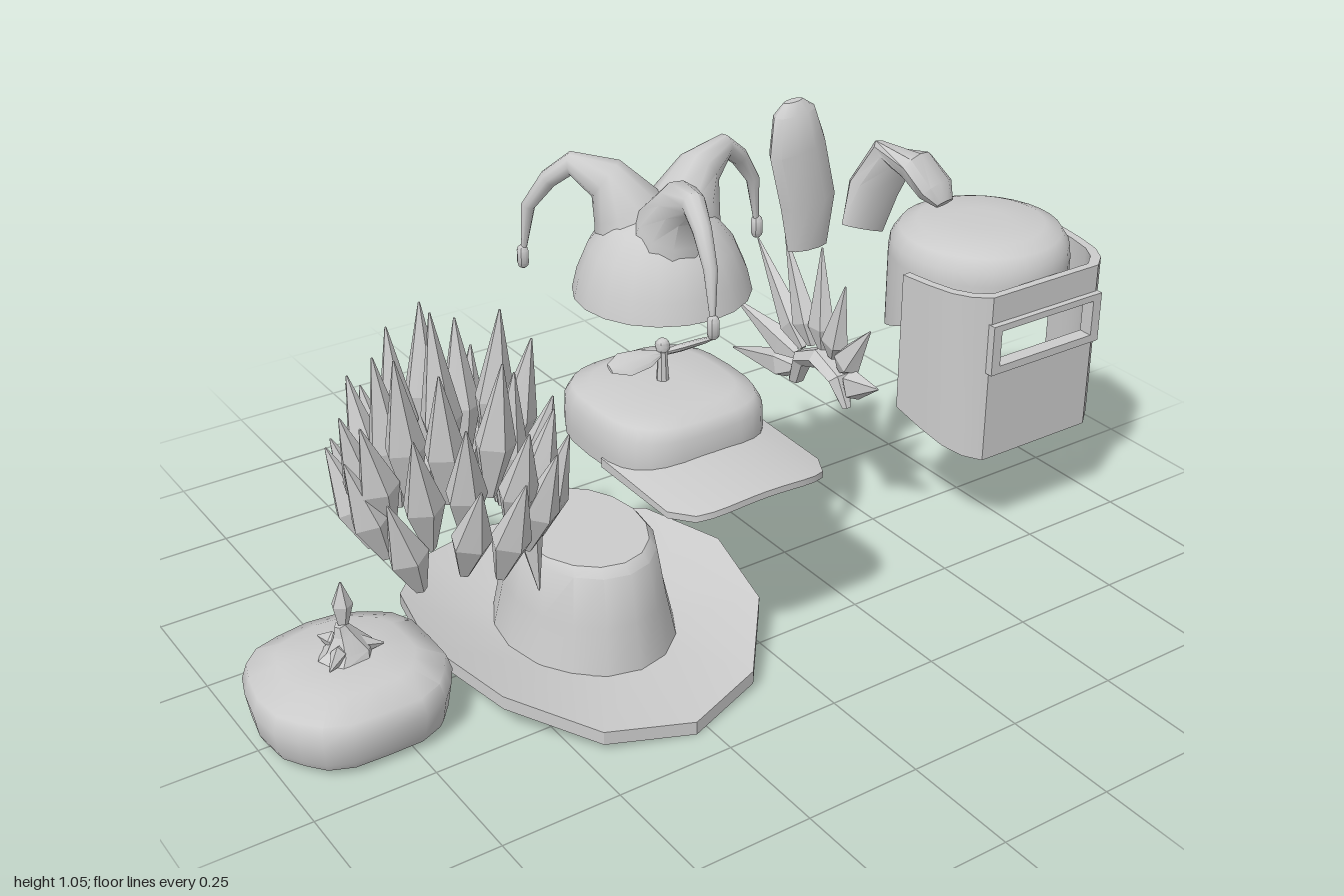
import * as THREE from 'three';
import { toCreasedNormals } from 'three/addons/utils/BufferGeometryUtils.js';

const V = (x, y, z) => new THREE.Vector3(x, y, z);
const mat = new THREE.MeshStandardMaterial({ color: 0xcccccc, side: THREE.DoubleSide });

function add(parent, name, geo, crease = 0.7) {
  const m = new THREE.Mesh(toCreasedNormals(geo, crease), mat);
  m.name = name;
  parent.add(m);
  return m;
}

function group(parent, name, x = 0, y = 0, z = 0) {
  const g = new THREE.Group();
  g.name = name;
  g.position.set(x, y, z);
  parent.add(g);
  return g;
}

// Skin a row of equal closed rings; caps close the first and last ring
function loft(rings, capStart = true, capEnd = true) {
  const n = rings[0].length, pos = [], idx = [];
  rings.forEach(r => r.forEach(p => pos.push(p.x, p.y, p.z)));
  const at = (i, j) => i * n + (j % n);
  for (let i = 0; i < rings.length - 1; i++)
    for (let j = 0; j < n; j++)
      idx.push(at(i, j), at(i, j + 1), at(i + 1, j + 1), at(i, j), at(i + 1, j + 1), at(i + 1, j));
  const cap = (i, flip) => {
    const c = rings[i].reduce((s, p) => s.add(p), V(0, 0, 0)).divideScalar(n), k = pos.length / 3;
    pos.push(c.x, c.y, c.z);
    for (let j = 0; j < n; j++) idx.push(k, at(i, j + (flip ? 1 : 0)), at(i, j + (flip ? 0 : 1)));
  };
  if (capStart) cap(0, true);
  if (capEnd) cap(rings.length - 1, false);
  const g = new THREE.BufferGeometry();
  g.setAttribute('position', new THREE.Float32BufferAttribute(pos, 3));
  g.setIndex(idx);
  return g;
}

// Horizontal ring; power below 1 makes it squarer, y may depend on x and z
function ring(n, rx, rz, y, power = 1) {
  return Array.from({ length: n }, (_, j) => {
    const a = j / n * Math.PI * 2, c = Math.cos(a), s = Math.sin(a);
    const x = rx * Math.sign(c) * Math.abs(c) ** power, z = -rz * Math.sign(s) * Math.abs(s) ** power;
    return V(x, typeof y === 'function' ? y(x, z) : y, z);
  });
}

// Sweep an ellipse along points, with a half width (along side) and half thickness at each
function sweep(pts, widths, thicks, side, n) {
  return loft(pts.map((p, i) => {
    const t = pts[Math.min(i + 1, pts.length - 1)].clone().sub(pts[Math.max(i - 1, 0)]).normalize();
    const u = side.clone().addScaledVector(t, -t.dot(side)).normalize(), v = t.clone().cross(u);
    return Array.from({ length: n }, (_, j) => {
      const a = j / n * Math.PI * 2;
      return p.clone().addScaledVector(u, widths[i] * Math.cos(a)).addScaledVector(v, thicks[i] * Math.sin(a));
    });
  }));
}

// Faceted spindle from a to b
function spike(parent, name, a, b, r, thick = r, mid = 0.35, side = V(1, 0, 0.3)) {
  const pts = [0, mid, 1].map(t => a.clone().lerp(b, t));
  return add(parent, name, sweep(pts, [r * 0.3, r, 0.002], [thick * 0.3, thick, 0.002], side, 5), 0.1);
}

function wideHat(root) {
  const g = group(root, 'wideBrimHat', -0.28, 0, 0);
  const lift = base => x => base + 0.07 * Math.max(0, (Math.abs(x) - 0.13) / 0.22);
  add(g, 'brim', loft([ring(12, 0.19, 0.23, 0.004), ring(12, 0.35, 0.43, lift(0.003)),
    ring(12, 0.35, 0.43, lift(0.032)), ring(12, 0.18, 0.225, 0.04)]), 0.5);
  add(g, 'crown', loft([ring(16, 0.18, 0.222, 0.03), ring(16, 0.155, 0.203, 0.14),
    ring(16, 0.138, 0.185, 0.245), ring(16, 0.125, 0.165, 0.262)])).position.z = 0.015;
}

function softHat(root) {
  const g = group(root, 'softRoundHat', -0.805, 0, 0);
  const rows = [[0.16, 0.035], [0.18, 0.018], [0.188, 0.035], [0.196, 0.085], [0.185, 0.12], [0.13, 0.145], [0.05, 0.15]];
  add(g, 'body', loft(rows.map(([r, y]) => ring(20, r, r * 0.98, y, 0.8).map((p, j) =>
    p.multiply(V(1 - 0.03 * (j % 3 === 0), 1, 1 - 0.03 * (j % 3 === 0)))))), 0.9);
  // gathered knot with a twisted tuft
  add(g, 'knot', sweep([V(0, 0.135, 0), V(0.01, 0.165, 0), V(0, 0.2, 0), V(-0.005, 0.22, 0)],
    [0.06, 0.048, 0.022, 0.012], [0.055, 0.04, 0.02, 0.012], V(1, 0, 0), 6), 0.2);
  spike(g, 'tuft', V(0, 0.2, 0), V(0.005, 0.308, -0.005), 0.022, 0.018, 0.55);
  [0.3, 2.4, 4.4].forEach(a => spike(g, 'fold', V(0, 0.17, 0),
    V(0.075 * Math.cos(a), 0.16, 0.075 * Math.sin(a)), 0.022, 0.016, 0.4, V(0, 1, 0)));
}

function spikyHair(root) {
  const g = group(root, 'spikyHair', -0.54, 0, -0.04);
  let seed = 7;
  const rnd = () => (seed = seed * 16807 % 2147483647) / 2147483647 - 0.5;
  // count, root radius, root height, tip radius, tip height, thickness
  const rows = [[13, 0.155, 0.31, 0.225, 0.53, 0.042], [12, 0.145, 0.37, 0.2, 0.62, 0.042], [9, 0.1, 0.43, 0.13, 0.73, 0.042]];
  rows.forEach(([n, r0, y0, r1, y1, w], k) => {
    for (let i = 0; i < n; i++) {
      const a = (i + 0.5 * k) / n * Math.PI * 2 + rnd() * 0.25, b = a + rnd() * 0.3, d = rnd() * 0.08;
      spike(g, 'hairSpike', V(r0 * Math.cos(a), y0 + d, r0 * 1.15 * Math.sin(a)),
        V(r1 * Math.cos(b), y1 + d + rnd() * 0.06, r1 * 1.15 * Math.sin(b)), w, w * 0.8, 0.4);
    }
  });
  spike(g, 'tallSpike', V(-0.03, 0.48, 0.05), V(-0.035, 0.81, 0.03), 0.042);
  spike(g, 'hangingSpike', V(0.1, 0.46, 0.1), V(0.11, 0.21, 0.14), 0.035);
}

function jesterHat(root) {
  const g = group(root, 'jesterHat', -0.07, 0, 0);
  const prof = [[0.178, 0.732], [0.168, 0.775], [0.145, 0.83], [0.105, 0.88], [0.05, 0.905], [0, 0.91]];
  add(g, 'dome', new THREE.LatheGeometry(prof.map(p => new THREE.Vector2(...p)), 20), 0.9);
  // three drooping horns with bells
  [104, -13, 226].forEach(deg => {
    const a = deg * Math.PI / 180, c = Math.cos(a), s = Math.sin(a);
    const path = [[0.05, 0.84], [0.07, 0.9], [0.11, 0.955], [0.18, 0.98], [0.225, 0.945], [0.268, 0.885], [0.28, 0.795]];
    const w = [0.085, 0.07, 0.045, 0.024, 0.019, 0.014, 0.006];
    add(g, 'horn', sweep(path.map(([r, y]) => V(r * c, y, r * s)), w, w, V(-s, 0, c), 10), 0.9);
    const bell = add(g, 'bell', new THREE.CapsuleGeometry(0.012, 0.026, 3, 8), 0.9);
    bell.position.set(0.283 * c, 0.775, 0.283 * s);
  });
}

function propellerCap(root) {
  const g = group(root, 'propellerCap', -0.07, 0, 0);
  const rows = [[0.178, 0.41], [0.18, 0.44], [0.178, 0.49], [0.165, 0.514], [0.13, 0.525], [0.05, 0.53]];
  add(g, 'capBody', loft(rows.map(([r, y]) => ring(28, r, r * 1.02, y, 0.65))), 0.9);
  // arched bill, sectioned from side to side
  const bill = [];
  for (let i = 0; i <= 12; i++) {
    const x = -0.18 + i * 0.03, e = Math.abs(x) / 0.18, z = 0.285 + 0.075 * Math.sqrt(1 - e ** 4), y = 0.407 + 0.022 * (1 - e * e);
    bill.push([V(x, y, 0.05), V(x, y + 0.02, 0.05), V(x, y + 0.014, z), V(x, y, z)]);
  }
  add(g, 'bill', loft(bill));
  add(g, 'stem', new THREE.CylinderGeometry(0.009, 0.014, 0.09, 8)).position.y = 0.56;
  add(g, 'stemKnob', new THREE.SphereGeometry(0.016, 8, 6), 1).position.y = 0.605;
  [-1, 1].forEach(s => {
    const b = add(g, 'blade', sweep([0.008, 0.04, 0.09, 0.125].map(d => V(s * d, 0.588, 0)),
      [0.008, 0.024, 0.03, 0.012], [0.006, 0.008, 0.007, 0.004], V(0, 0.5 * s, 1), 8), 0.8);
    b.position.z = 0;
  });
}

function crest(root) {
  const g = group(root, 'spikedCrest', 0.377, 0, 0);
  // tip z, tip y, fanned around a curved root line
  const tips = [[0.15, 0.44], [0.1, 0.55], [0.03, 0.63], [-0.07, 0.68], [-0.18, 0.67], [-0.3, 0.62], [-0.36, 0.45], [-0.39, 0.312]];
  tips.forEach(([z, y], i) => {
    const a = 0.35 + i / 7 * 2.9;
    spike(g, 'crestSpike', V(0, 0.375 + 0.075 * Math.sin(a), -0.05 + 0.09 * Math.cos(a)),
      V((i % 2 - 0.5) * 0.014, y, z), 0.027, 0.036, 0.22, V(1, 0, 0));
  });
  add(g, 'crestRoot', sweep([0, 1, 2, 3, 4].map(i => V(0, 0.345 + 0.085 * Math.sin(i * 0.8), -0.05 + 0.09 * Math.cos(i * 0.8))),
    [0.01, 0.03, 0.034, 0.03, 0.02], [0.01, 0.02, 0.025, 0.02, 0.015], V(1, 0, 0), 6), 0.1);
}

function ears(root) {
  const g = group(root, 'longEars');
  add(g, 'uprightEar', sweep([V(0.3, 0.725, -0.015), V(0.3, 0.83, -0.018), V(0.27, 0.95, -0.018), V(0.262, 1.025, -0.02), V(0.26, 1.048, -0.022)],
    [0.05, 0.068, 0.068, 0.05, 0.022], [0.022, 0.034, 0.036, 0.028, 0.012], V(1, 0, 0), 10), 0.7);
  add(g, 'foldedEar', sweep([V(0.45, 0.728, -0.02), V(0.48, 0.81, -0.025), V(0.515, 0.875, -0.01), V(0.535, 0.87, 0.045), V(0.55, 0.83, 0.09), V(0.555, 0.805, 0.115)],
    [0.06, 0.07, 0.075, 0.068, 0.055, 0.028], [0.02, 0.03, 0.034, 0.034, 0.03, 0.014], V(0.92, -0.38, 0), 10), 0.7);
}

function weldingHelmet(root) {
  const g = group(root, 'weldingHelmet', 0.767, 0, 0);
  // rounded shell, cut at a slant below
  add(g, 'shell', loft([ring(32, 0.2, 0.2, (x, z) => 0.473 + 0.43 * z), ring(32, 0.2, 0.2, 0.605), ring(32, 0.196, 0.196, 0.635),
    ring(32, 0.178, 0.178, 0.662), ring(32, 0.14, 0.14, 0.677), ring(32, 0.06, 0.06, 0.682)], false), 0.8);
  const rect = (C, x, y0, y1) => new C([[-x, y0], [x, y0], [x, y1], [-x, y1]].map(p => new THREE.Vector2(...p)));
  const panel = (name, w, y0, y1, z, depth) => {
    const s = rect(THREE.Shape, w, y0, y1);
    s.holes.push(rect(THREE.Path, 0.132, 0.453, 0.535));
    add(g, name, new THREE.ExtrudeGeometry(s, { depth, bevelEnabled: false })).position.z = z;
  };
  panel('facePlate', 0.15, 0.222, 0.612, 0.2, 0.018);
  panel('windowFrame', 0.155, 0.435, 0.55, 0.212, 0.02);
  // wrapped sides with a lower edge rising toward the back
  const plan = [[0.15, 0.218], [0.185, 0.19], [0.208, 0.15], [0.222, 0.09], [0.232, 0.02]];
  [-1, 1].forEach(s => {
    const rings = plan.map(([x, z]) => {
      const y = 0.222 + (0.218 - z) * 0.35, k = 0.915;
      const r = [V(s * x, y, z), V(s * x, 0.612, z), V(s * x * k, 0.612, z * k), V(s * x * k, y, z * k)];
      return s > 0 ? r.reverse() : r;
    });
    add(g, 'sideGuard', loft(rings), 0.8);
  });
}

export function createModel() {
  const root = new THREE.Group();
  root.name = 'headwearCollection';
  [wideHat, softHat, spikyHair, jesterHat, propellerCap, crest, ears, weldingHelmet].forEach(build => build(root));
  return root;
}
